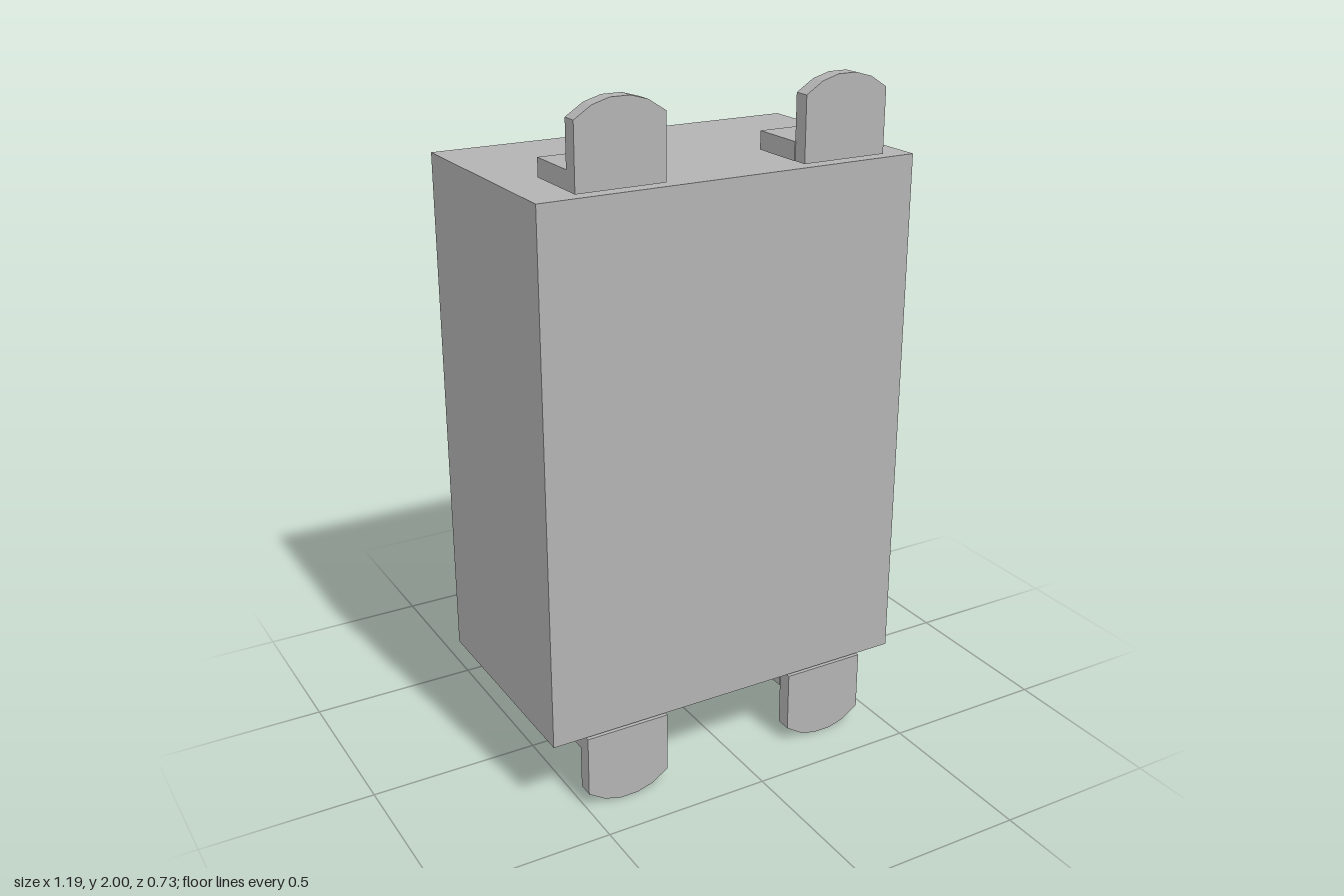
import * as THREE from 'three';

export function createModel() {
  const model = new THREE.Group();
  model.name = 'wallCabinet';
  const grey = new THREE.MeshStandardMaterial({ color: 0xb3b3b3 });
  grey.name = 'grey metal';

  const add = (parent, name, geometry, x, y, z) => {
    const mesh = new THREE.Mesh(geometry, grey);
    mesh.name = name;
    mesh.position.set(x, y, z);
    parent.add(mesh);
    return mesh;
  };
  // Box given by its lower and upper corners
  const addBox = (parent, name, [x0, y0, z0], [x1, y1, z1]) =>
    add(parent, name, new THREE.BoxGeometry(x1 - x0, y1 - y0, z1 - z0),
      (x0 + x1) / 2, (y0 + y1) / 2, (z0 + z1) / 2);
  // Eight-sided disc lying along z
  const disc = (radius, depth) => new THREE.CylinderGeometry(radius, radius, depth, 8).rotateX(Math.PI / 2);

  // Cabinet body
  addBox(model, 'cabinetBody', [-0.597, 0.237, -0.308], [0.535, 1.763, 0.362]);

  // Hinge barrels, half sunk into the left side
  for (const [y0, y1] of [[0.53, 0.812], [1.287, 1.569]]) {
    add(model, 'hinge', new THREE.CylinderGeometry(0.05, 0.05, y1 - y0, 8), 0.539, (y0 + y1) / 2, -0.198);
  }

  // Door lock on the back: collar and cap
  const lock = new THREE.Group();
  lock.name = 'doorLock';
  add(lock, 'lockCollar', disc(0.073, 0.021), -0.368, 1.005, -0.329);
  add(lock, 'lockCap', disc(0.055, 0.03), -0.368, 1.005, -0.354);
  model.add(lock);

  // Mounting lug outline, rounded at its outer end
  const half = [[0.127, 0], [0.127, 0.18], [0.077, 0.212], [0.028, 0.226]];
  const outline = [...half, ...half.map(([x, y]) => [-x, y]).reverse()];
  const lugShape = new THREE.Shape(outline.map(([x, y]) => new THREE.Vector2(x, y)));
  const lugGeometry = new THREE.ExtrudeGeometry(lugShape, { depth: 0.046, bevelEnabled: false });

  // Four L-shaped brackets, the lower pair turned upside down
  for (const x of [-0.366, 0.304]) {
    for (const top of [true, false]) {
      const bracket = new THREE.Group();
      bracket.name = top ? 'upperBracket' : 'lowerBracket';
      add(bracket, 'lug', lugGeometry, 0, 0, 0.318);
      const shift = x > 0 ? -0.003 : 0;
      const y0 = top ? 0 : -0.052;
      addBox(bracket, 'foot', [-0.127 + shift, 0, 0.154], [0.126 + shift, 0.052, 0.32]);
      add(bracket, 'bolt', disc(0.06, 0.04), 0, 0.147, 0.299);
      bracket.position.set(x, 1.774, 0);
      if (!top) {
        // Half turn about z keeps the faces outward
        bracket.rotation.z = Math.PI;
        bracket.position.y = 0.23;
        bracket.children[1].position.x *= -1;
      }
      model.add(bracket);
    }
  }
  return model;
}
